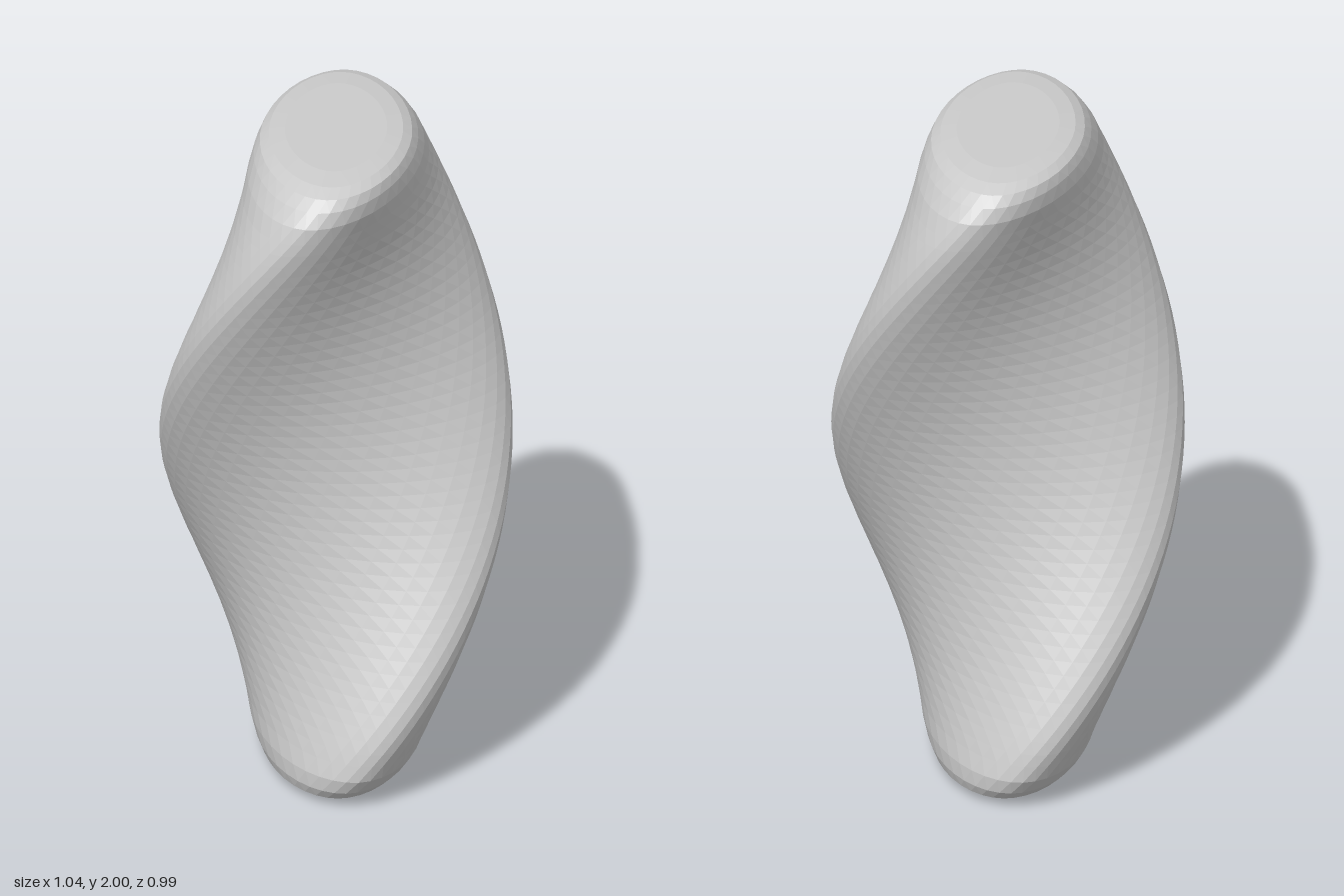
import * as THREE from 'three';

const HALF_LONG = 0.52, HALF_SHORT = 0.26, SEGMENTS = 40, ROWS = 44;

// Rounded rim at one end: [height from the middle, scale of the section]
const RIM = [[0.9, 0.965], [0.945, 0.92], [0.975, 0.86], [0.992, 0.76], [1, 0.58], [1, 0]];

export function createModel() {
  // Unit profile from the bottom centre to the top centre
  const profile = [];
  for (const [h, s] of [...RIM].reverse()) profile.push(new THREE.Vector2(s, 1 - h));
  for (let i = 0; i <= ROWS; i++) {
    const h = -0.85 + (1.7 * i) / ROWS;
    profile.push(new THREE.Vector2(Math.pow(1 - Math.pow(Math.abs(h), 10), 0.1), 1 + h));
  }
  for (const [h, s] of RIM) profile.push(new THREE.Vector2(s, 1 + h));

  // Flatten the round section to an oval and twist it half a turn over the height
  const geometry = new THREE.LatheGeometry(profile, SEGMENTS);
  const pos = geometry.attributes.position;
  const squeeze = (c) => Math.sign(c) * Math.pow(Math.abs(c), 2 / 1.9);
  for (let i = 0; i < pos.count; i++) {
    const x = pos.getX(i), y = pos.getY(i), z = pos.getZ(i);
    const r = Math.hypot(x, z), a = Math.atan2(z, x);
    const u = r * HALF_LONG * squeeze(Math.cos(a));
    const v = r * HALF_SHORT * squeeze(Math.sin(a));
    const t = ((y - 1) * Math.PI) / 2;
    pos.setXYZ(i, u * Math.cos(t) + v * Math.sin(t), y, v * Math.cos(t) - u * Math.sin(t));
  }
  geometry.computeVertexNormals();

  const body = new THREE.Mesh(
    geometry,
    new THREE.MeshStandardMaterial({ color: 0xcccccc, flatShading: true })
  );
  body.name = 'twistedBody';

  const group = new THREE.Group();
  group.name = 'twistedColumn';
  group.add(body);
  return group;
}
